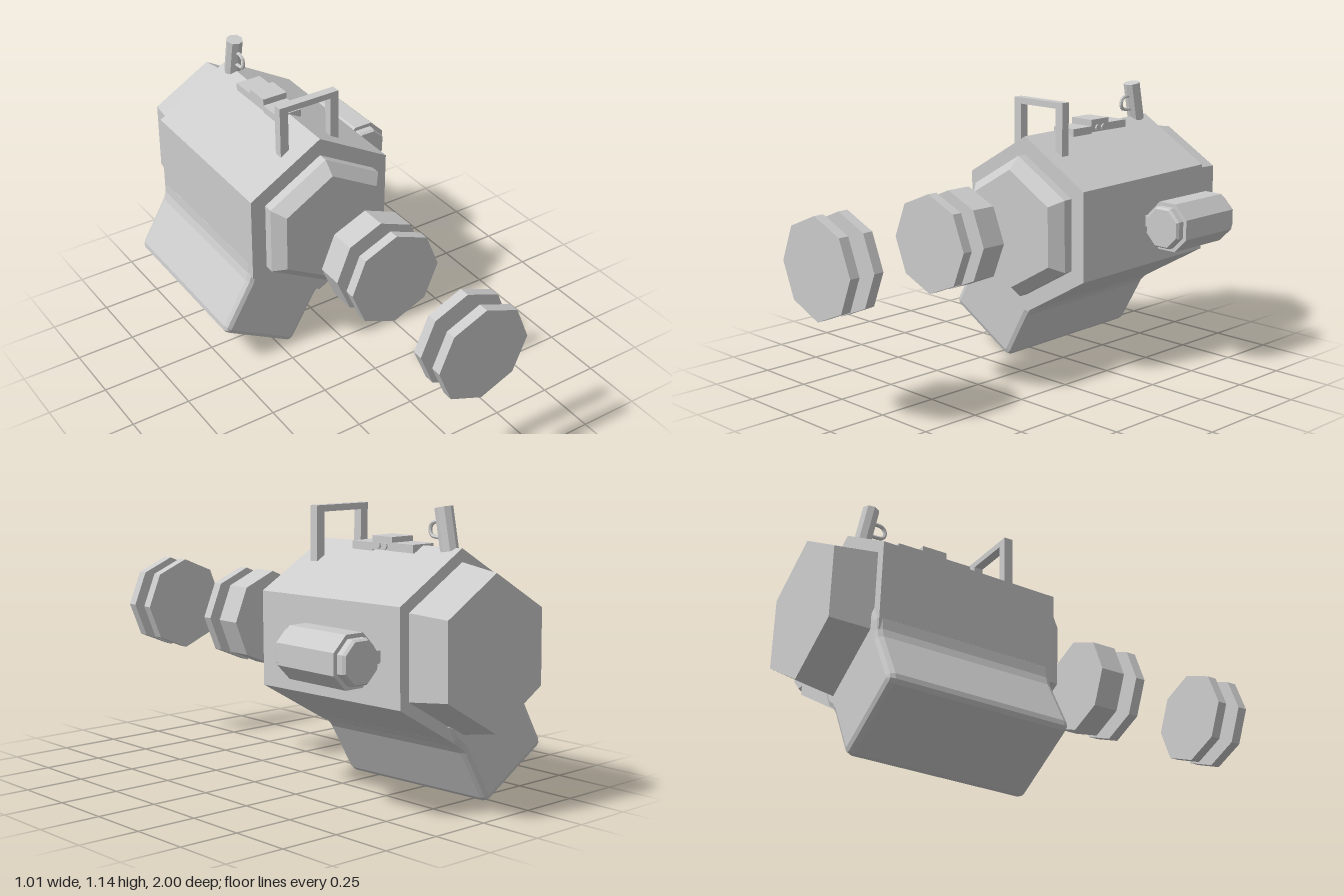
import * as THREE from 'three';

const CX = -0.055, CY = 0.615, MID = -0.45;
const mat = new THREE.MeshStandardMaterial({ color: 0xcccccc, flatShading: true });

function add(parent, name, geo, x = 0, y = 0, z = 0) {
  const m = new THREE.Mesh(geo, mat);
  m.name = name;
  m.position.set(x, y, z);
  parent.add(m);
  return m;
}

// Prism lying along z, from zBack to zFront, with a radius at each end
function prism(sides, rFront, rBack, zFront, zBack, turn = 0) {
  return new THREE.CylinderGeometry(rFront, rBack, zFront - zBack, sides)
    .rotateY(turn).rotateX(Math.PI / 2).translate(0, 0, (zFront + zBack) / 2);
}

const box = (w, h, d) => new THREE.BoxGeometry(w, h, d);

export function createModel() {
  const model = new THREE.Group();
  model.name = 'model';

  // Hexagonal housing, pitched very slightly; z inside is measured from its middle
  const housing = new THREE.Group();
  housing.name = 'housing';
  housing.position.set(CX, CY - 0.003, MID);
  housing.rotation.x = 0.018;
  model.add(housing);
  const hex = (name, rf, rb, zf, zb) => add(housing, name, prism(6, rf, rb, zf - MID, zb - MID));
  hex('body', 0.373, 0.373, -0.08, -0.83);
  hex('frontCollar', 0.298, 0.298, -0.04, -0.085);
  hex('frontBevel', 0.248, 0.298, 0.012, -0.04);
  hex('backCap', 0.323, 0.294, -0.825, -0.996);

  // Slanted lower box with flared root and rounded edges
  const half = [[0.215, -0.2], [0.215, -0.274], [0.196, -0.315], [0.188, -0.35],
    [0.188, -0.57], [0.18, -0.59], [0.162, -0.597]];
  const outline = [...half, ...half.map(([x, y]) => [-x, y]).reverse()];
  const shape = new THREE.Shape(outline.map(([x, y]) => new THREE.Vector2(x, y)).reverse());
  const bevel = 0.025;
  const lower = new THREE.ExtrudeGeometry(shape, {
    depth: 0.75 - 2 * bevel, bevelThickness: bevel, bevelSize: bevel,
    bevelOffset: -bevel, bevelSegments: 2,
  });
  lower.translate(0, 0, -0.84 + bevel - MID).rotateZ(-Math.PI / 6);
  add(housing, 'lowerBox', lower);

  // Floating octagonal discs in front
  const discs = [[1.0, 0.958], [0.89, 0.848], [0.455, 0.413], [0.35, 0.242]];
  discs.forEach(([zf, zb], i) =>
    add(model, 'disc' + (i + 1), prism(8, 0.2, 0.2, zf, zb), CX, CY));

  // Side canister with stepped ends, on a short bracket
  const side = new THREE.Group();
  side.name = 'sideCanister';
  side.position.set(0.403, CY, -0.587);
  model.add(side);
  const oct = Math.PI / 8;
  add(side, 'canisterBody', prism(8, 0.108, 0.108, 0.15, -0.15, oct));
  for (const s of [1, -1]) {
    const end = new THREE.Group();
    end.name = s > 0 ? 'frontEnd' : 'backEnd';
    end.rotation.y = s > 0 ? 0 : Math.PI;
    side.add(end);
    add(end, 'endRing', prism(8, 0.091, 0.091, 0.175, 0.14, oct));
    add(end, 'endBevel', prism(8, 0.083, 0.091, 0.187, 0.175, oct));
  }
  add(model, 'sideBracket', box(0.06, 0.048, 0.27), 0.285, CY, -0.595);

  // Square arch on the ridge
  const arch = new THREE.Group();
  arch.name = 'frontArch';
  arch.position.set(CX, 0, -0.168);
  model.add(arch);
  for (const s of [1, -1]) add(arch, 'archPost', box(0.038, 0.215, 0.038), s * 0.118, 1.008);
  add(arch, 'archBar', box(0.274, 0.026, 0.038), 0, 1.107);

  // Stepped rail on the ridge with a small knob
  const rail = new THREE.Group();
  rail.name = 'rail';
  rail.position.set(CX, 0, -0.465);
  model.add(rail);
  for (const s of [1, -1]) add(rail, 'railBlock', box(0.112, 0.032, 0.11), 0, 0.974 - s * 0.003, s * 0.108);
  add(rail, 'railMiddle', box(0.112, 0.053, 0.107), 0, 0.988);
  for (const z of [-0.018, 0.018]) {
    const knob = new THREE.CylinderGeometry(0.013, 0.013, 0.012, 8).rotateZ(Math.PI / 2);
    add(rail, 'railKnob', knob, 0.058, 0.978, z);
  }

  // Leaning rear post with a loop in front of it
  const post = add(model, 'rearPost', new THREE.CylinderGeometry(0.035, 0.035, 0.165, 8), CX, 1.056, -0.745);
  post.rotation.x = 0.2;
  const loop = new THREE.CatmullRomCurve3([[1.08, -0.725], [1.08, -0.685], [1.07, -0.668],
    [1.05, -0.662], [1.03, -0.67], [1.024, -0.69], [1.024, -0.735]]
    .map(([y, z]) => new THREE.Vector3(0, y, z)));
  add(model, 'postLoop', new THREE.TubeGeometry(loop, 14, 0.008, 6), CX);

  return model;
}
